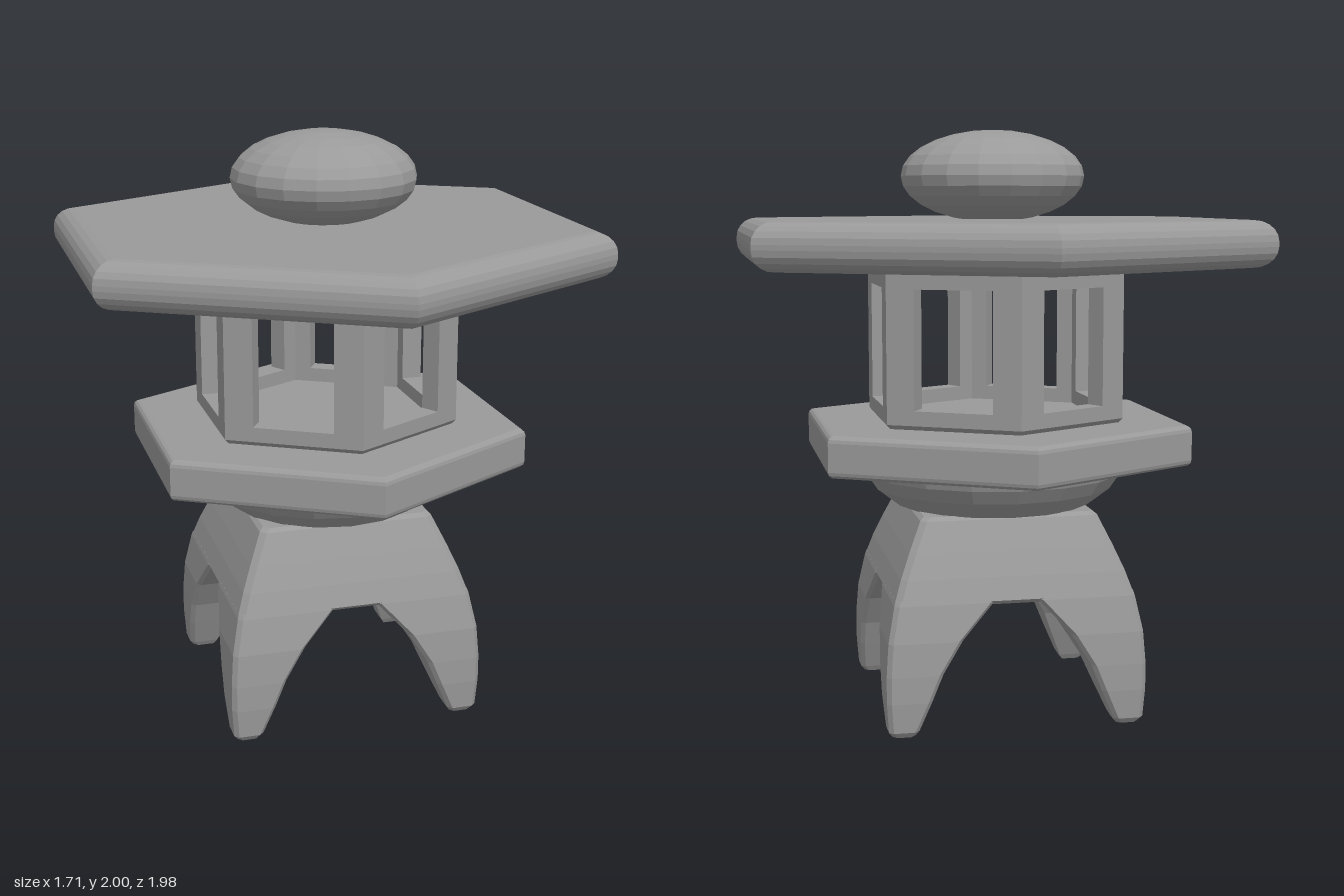
import * as THREE from 'three';

const stone = new THREE.MeshStandardMaterial({ color: 0x9a9a9a });
stone.name = 'stone';

// Faceted mesh: every face gets its own normals
function part(name, geometry) {
  const g = geometry.index ? geometry.toNonIndexed() : geometry;
  g.computeVertexNormals();
  const mesh = new THREE.Mesh(g, stone);
  mesh.name = name;
  return mesh;
}

// Turned part from [radius, y] points, bottom to top
function turned(name, sides, points) {
  return part(name, new THREE.LatheGeometry(points.map(([r, y]) => new THREE.Vector2(r, y)), sides));
}

// Hexagonal slab with a rounded rim; corners lie on the z axis
function hexSlab(name, radius, y0, y1, bevelR, bevelY, steps) {
  const pts = [[0, y0]];
  for (let i = 0; i <= steps; i++) {
    const t = (i / steps) * Math.PI / 2;
    pts.push([radius - bevelR * (1 - Math.sin(t)), y0 + bevelY * (1 - Math.cos(t))]);
  }
  for (let i = steps; i >= 0; i--) {
    const t = (i / steps) * Math.PI / 2;
    pts.push([radius - bevelR * (1 - Math.sin(t)), y1 - bevelY * (1 - Math.cos(t))]);
  }
  pts.push([0, y1]);
  return turned(name, 6, pts);
}

// Closed solid through convex cross-sections { y, pts: [[x, z], ...] }
function loft(sections) {
  const n = sections[0].pts.length;
  const pos = [];
  const idx = [];
  sections.forEach((s) => s.pts.forEach(([x, z]) => pos.push(x, s.y, z)));
  for (let s = 0; s < sections.length - 1; s++) {
    for (let i = 0; i < n; i++) {
      const a = s * n + i, b = s * n + (i + 1) % n;
      idx.push(a, b, b + n, a, b + n, a + n);
    }
  }
  const top = (sections.length - 1) * n;
  for (let i = 1; i < n - 1; i++) {
    idx.push(0, i + 1, i, top, top + i, top + i + 1);
  }
  const g = new THREE.BufferGeometry();
  g.setAttribute('position', new THREE.Float32BufferAttribute(pos, 3));
  g.setIndex(idx);
  return g;
}

// Square with chamfered corners
function squareSection(y, w, c = 0.02) {
  return { y, pts: [[w - c, w], [w, w - c], [w, c - w], [w - c, -w], [c - w, -w], [-w, c - w], [-w, w - c], [c - w, w]] };
}

// One leg's section between inner edge a and outer edge w
function legSection(y, a, w, c = 0.015) {
  return { y, pts: [[a, a], [a, w - c], [a + c, w], [w - c, w], [w, w - c], [w, a + c], [w - c, a]] };
}

function createModel() {
  const model = new THREE.Group();
  model.name = 'stoneLantern';

  // Four curved legs meeting in arches
  const legs = new THREE.Group();
  legs.name = 'legs';
  const legGeometry = loft([
    [0, 0.345, 0.42], [0.02, 0.333, 0.435], [0.12, 0.29, 0.442], [0.21, 0.253, 0.442],
    [0.32, 0.185, 0.434], [0.44, 0.075, 0.41], [0.455, 0.075, 0.405],
  ].map(([y, a, w]) => legSection(y, a, w)));
  for (let i = 0; i < 4; i++) {
    const leg = part('leg', legGeometry);
    leg.rotation.y = i * Math.PI / 2;
    legs.add(leg);
  }
  model.add(legs);

  // Body above the arches
  model.add(part('legBody', loft([
    [0.43, 0.39], [0.445, 0.408], [0.52, 0.383], [0.6, 0.35], [0.7, 0.305], [0.712, 0.29],
  ].map(([y, w]) => squareSection(y, w)))));

  // Bowl and platform
  model.add(turned('bowl', 18, [[0, 0.71], [0.345, 0.71], [0.425, 0.772], [0.458, 0.82], [0.475, 0.87], [0, 0.87]]));
  model.add(hexSlab('platform', 0.712, 0.865, 1.005, 0.025, 0.022, 3));

  // Lantern room: six walls with window openings
  const room = new THREE.Group();
  room.name = 'lanternRoom';
  const radius = 0.47, thickness = 0.07;
  const wall = new THREE.Shape();
  wall.moveTo(-radius / 2, 1.02).lineTo(radius / 2, 1.02).lineTo(radius / 2, 1.526).lineTo(-radius / 2, 1.526).closePath();
  const opening = new THREE.Path();
  opening.moveTo(-0.137, 1.07).lineTo(-0.137, 1.472).lineTo(0.137, 1.472).lineTo(0.137, 1.07).closePath();
  wall.holes.push(opening);
  const wallGeometry = new THREE.ExtrudeGeometry(wall, { depth: thickness, bevelEnabled: false });
  wallGeometry.translate(0, 0, radius * Math.cos(Math.PI / 6) - thickness);
  for (let i = 0; i < 6; i++) {
    const side = part('windowWall', wallGeometry);
    side.rotation.y = Math.PI / 6 + i * Math.PI / 3;
    room.add(side);
  }
  room.add(turned('roomFloor', 6, [[0, 1.0], [0.455, 1.004], [0.47, 1.02], [0, 1.02]]));
  room.add(turned('roomCeiling', 6, [[0, 1.526], [0.47, 1.526], [0.457, 1.54], [0, 1.54]]));
  model.add(room);

  // Roof and flattened ball on top
  model.add(hexSlab('roof', 0.99, 1.54, 1.697, 0.085, 0.07, 5));
  const ball = [];
  for (let i = 0; i <= 14; i++) {
    const t = (i / 14) * Math.PI;
    ball.push([0.317 * Math.sin(t), 1.843 - 0.157 * Math.cos(t)]);
  }
  model.add(turned('finial', 18, ball));

  return model;
}

export { createModel };
